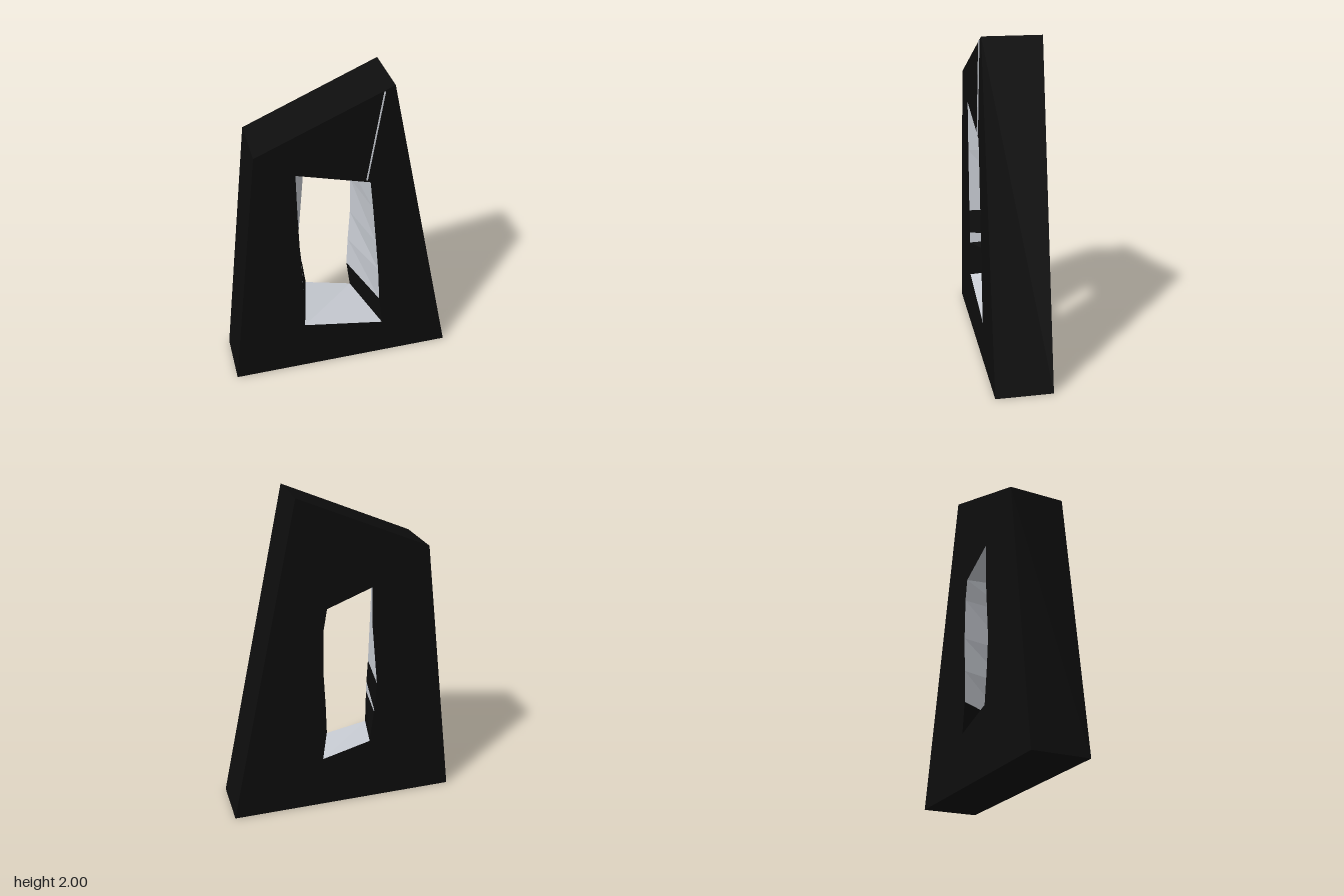
import * as THREE from 'three';

const FRONT = 0.168, BACK = -0.176;

// Outer outline, clockwise seen from the front
const OUTER = [[-0.71, 0], [-0.51, 1.66], [0.285, 2], [0.71, 0]];

// Opening: [front x, front y, back x, back y], counter-clockwise, and whether the wall that follows is pale
const OPENING = [
  [-0.28, 1.51, -0.165, 1.44, true],
  [-0.275, 1.2, -0.168, 1.22, true],
  [-0.263, 0.8, -0.205, 0.81, false],
  [-0.255, 0.65, -0.192, 0.625, true],
  [-0.253, 0.58, -0.19, 0.615, false],
  [-0.25, 0.355, -0.165, 0.41, true],
  [0.265, 0.26, 0.14, 0.33, false],
  [0.24, 0.47, 0.115, 0.52, true],
  [0.225, 0.72, 0.122, 0.72, true],
  [0.205, 0.94, 0.135, 0.94, true],
  [0.18, 1.2, 0.132, 1.2, true],
  [0.16, 1.39, 0.11, 1.335, true],
];

// Flat-shaded quads joining each front edge to its back edge
function walls(front, back, keep) {
  const pos = [];
  front.forEach((a, i) => {
    if (!keep(i)) return;
    const j = (i + 1) % front.length;
    const A = [...a, FRONT], B = [...front[j], FRONT];
    const C = [...back[j], BACK], D = [...back[i], BACK];
    pos.push(...A, ...B, ...C, ...A, ...C, ...D);
  });
  const g = new THREE.BufferGeometry();
  g.setAttribute('position', new THREE.Float32BufferAttribute(pos, 3));
  g.computeVertexNormals();
  return g;
}

// Flat face with a hole; sx = -1 gives the mirrored outline for the back
function face(hole, sx) {
  const pts = (list) => list.map(([x, y]) => new THREE.Vector2(x * sx, y));
  const shape = new THREE.Shape(pts(OUTER));
  shape.holes.push(new THREE.Path(pts(hole)));
  return new THREE.ShapeGeometry(shape);
}

export function createModel() {
  const black = new THREE.MeshStandardMaterial({ color: 0x0d0d0d });
  black.name = 'black';
  const pale = new THREE.MeshStandardMaterial({ color: 0xc9cdd4 });
  pale.name = 'paleGrey';

  const model = new THREE.Group();
  model.name = 'slabWithOpening';
  const add = (name, geometry, material) => {
    const mesh = new THREE.Mesh(geometry, material);
    mesh.name = name;
    model.add(mesh);
    return mesh;
  };

  const holeFront = OPENING.map((p) => [p[0], p[1]]);
  const holeBack = OPENING.map((p) => [p[2], p[3]]);

  // Slab
  add('frontFace', face(holeFront, 1).translate(0, 0, FRONT), black);
  add('backFace', face(holeBack, -1).rotateY(Math.PI).translate(0, 0, BACK), black);
  add('outerSides', walls(OUTER, OUTER, () => true), black);

  // Tapering walls of the opening
  add('paleOpeningWalls', walls(holeFront, holeBack, (i) => OPENING[i][4]), pale);
  add('darkOpeningWalls', walls(holeFront, holeBack, (i) => !OPENING[i][4]), black);

  // Thin inlaid line from the opening to the peak
  const from = new THREE.Vector2(0.137, 1.41), to = new THREE.Vector2(0.226, 1.97);
  const d = to.clone().sub(from);
  const line = add('inlayLine', new THREE.BoxGeometry(0.007, d.length(), 0.007), pale);
  line.position.set((from.x + to.x) / 2, (from.y + to.y) / 2, FRONT + 0.0035);
  line.rotation.z = -Math.atan2(d.x, d.y);

  return model;
}
